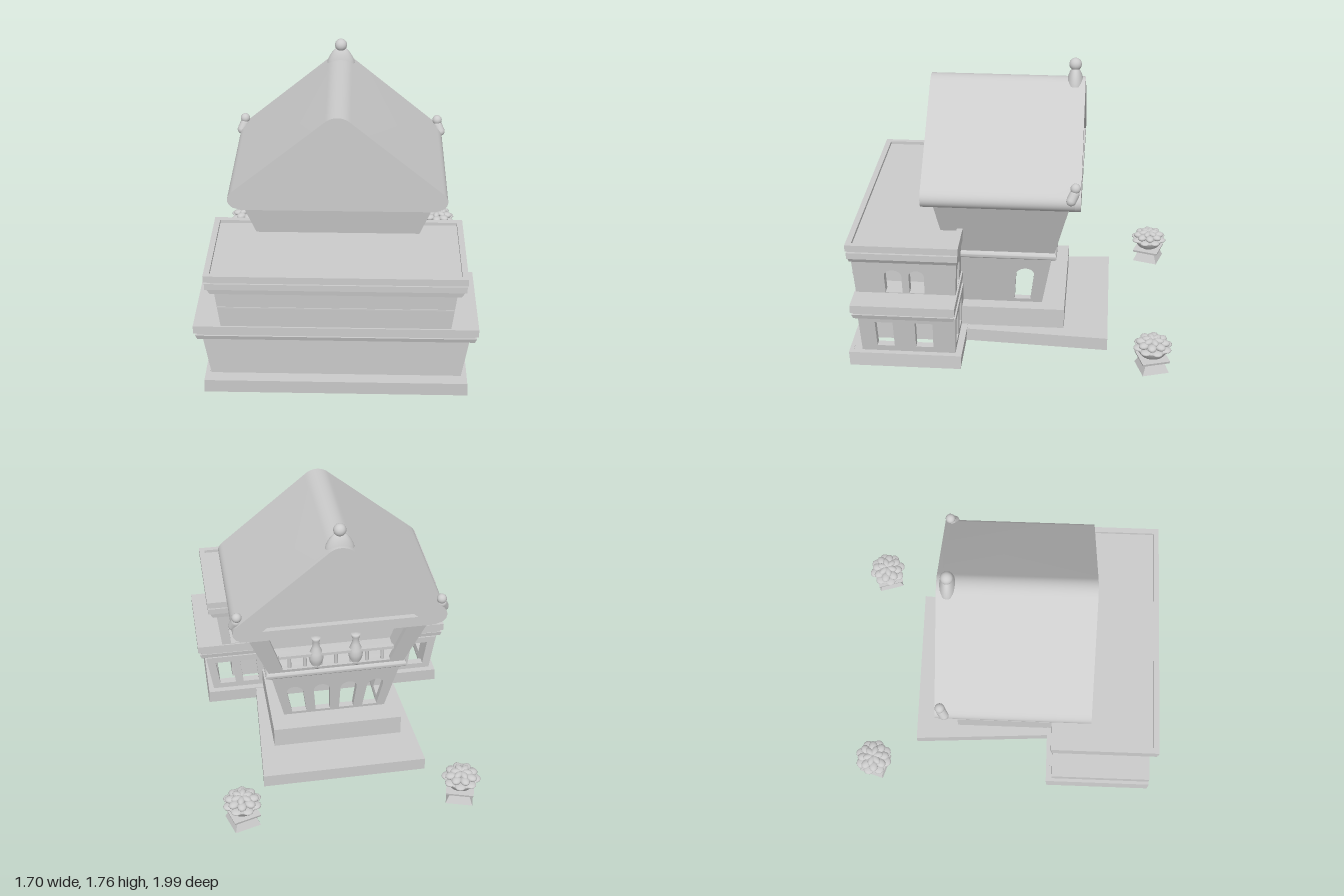
import * as THREE from 'three';
import { toCreasedNormals } from 'three/addons/utils/BufferGeometryUtils.js';

const material = new THREE.MeshStandardMaterial({ color: 0xcccccc });
const shellMaterial = new THREE.MeshStandardMaterial({ color: 0xcccccc, side: THREE.DoubleSide });
const lerp = THREE.MathUtils.lerp;
const points = (list) => list.map((p) => new THREE.Vector2(...p));

function add(parent, name, geometry, x = 0, y = 0, z = 0, mat = material) {
  const mesh = new THREE.Mesh(geometry, mat);
  mesh.name = name;
  mesh.position.set(x, y, z);
  parent.add(mesh);
  return mesh;
}

// Moves every vertex by a rule, then rebuilds crisp normals
function reshape(geometry, rule) {
  const p = geometry.attributes.position;
  const v = new THREE.Vector3();
  for (let i = 0; i < p.count; i++) {
    rule(v.fromBufferAttribute(p, i));
    p.setXYZ(i, v.x, v.y, v.z);
  }
  return toCreasedNormals(geometry, 0.5);
}

// Tapered block; a section is [half width, back z, front z]
function block(parent, name, y0, y1, low, high = low) {
  const geo = reshape(new THREE.BoxGeometry(2, 1, 1), (v) => {
    const t = v.y + 0.5, s = v.z + 0.5;
    v.set(v.x * lerp(low[0], high[0], t), lerp(y0, y1, t),
      lerp(lerp(low[1], high[1], t), lerp(low[2], high[2], t), s));
  });
  add(parent, name, geo);
}

// Opening in wall coordinates: u runs -1..1 across, y is height
function opening(u, w, y0, y1, rise = 0) {
  const h = new THREE.Path();
  h.moveTo(u - w, y0);
  h.lineTo(u + w, y0);
  h.lineTo(u + w, y1 - rise);
  if (rise) h.absellipse(u, y1 - rise, w, rise, 0, Math.PI, false);
  else h.lineTo(u - w, y1);
  h.lineTo(u - w, y0);
  return h;
}

// Four leaning walls with openings: side walls take u along +z, the back along x
function storey(parent, name, y0, y1, low, high, t, sideHoles = () => [], backHoles = () => []) {
  const group = new THREE.Group();
  group.name = name;
  parent.add(group);
  const at = (y) => low.map((a, i) => lerp(a, high[i], (y - y0) / (y1 - y0)));
  const wall = (label, holes, rule) => {
    const s = new THREE.Shape(points([[-1, y0], [1, y0], [1, y1], [-1, y1]]));
    s.holes.push(...holes);
    const g = new THREE.ExtrudeGeometry(s, { depth: t, bevelEnabled: false, curveSegments: 10 });
    add(group, label, reshape(g, (v) => rule(v, at(v.y), t - v.z)));
  };
  for (const side of [1, -1]) {
    wall(side > 0 ? 'leftWall' : 'rightWall', sideHoles(-side), (v, [hx, zb, zf], d) =>
      v.set(side * (hx - d), v.y, lerp(zb, zf, (1 - side * v.x) / 2)));
  }
  wall('backWall', backHoles(), (v, [hx, zb], d) => v.set(-v.x * hx, v.y, zb + d));
  wall('frontWall', [], (v, [hx, , zf], d) => v.set(v.x * hx, v.y, zf - d));
}

// Flat four-sided frame with a four-sided hole; sides are [back half width, front half width, back z, front z]
function frame(parent, name, y0, y1, outer, inner) {
  const corners = ([b, f, zb, zf]) => points([[-f, -zf], [f, -zf], [b, -zb], [-b, -zb]]);
  const s = new THREE.Shape(corners(outer));
  s.holes.push(new THREE.Path(corners(inner)));
  const g = new THREE.ExtrudeGeometry(s, { depth: y1 - y0, bevelEnabled: false });
  add(parent, name, g.rotateX(-Math.PI / 2), 0, y0, 0);
}

function lathe(profile) {
  return new THREE.LatheGeometry(points(profile), 24);
}

function addFrontBuilding(root) {
  const g = new THREE.Group();
  g.name = 'frontBuilding';
  root.add(g);
  // Base is an open rim carrying a ledge
  storey(g, 'baseRim', 0, 0.09, [0.8, 0.305, 0.995], [0.795, 0.3, 1], 0.025);
  frame(g, 'baseLedge', 0.07, 0.089, [0.79, 0.79, 0.305, 0.99], [0.71, 0.71, 0.39, 0.87]);

  // Lower storey with square windows in front of set-back inner walls
  storey(g, 'lowerStorey', 0.09, 0.36, [0.76, 0.34, 0.92], [0.8, 0.33, 0.93], 0.05,
    (s) => [0.48, -0.345].map((u) => opening(u * s, 0.185, 0.13, 0.315)),
    () => [-0.86, -0.65, 0.65, 0.86].map((u) => opening(u, 0.07, 0.13, 0.315)));
  storey(g, 'lowerInnerWalls', 0.09, 0.36, [0.62, 0.46, 0.9], [0.62, 0.46, 0.9], 0.02);
  block(g, 'lowerCorniceBottom', 0.36, 0.39, [0.83, 0.34, 0.95], [0.84, 0.335, 0.96]);
  block(g, 'lowerCorniceGroove', 0.39, 0.41, [0.83, 0.34, 0.95]);
  block(g, 'lowerCorniceTop', 0.41, 0.46, [0.85, 0.33, 0.965]);

  // Upper storey with paired arches
  storey(g, 'upperStorey', 0.46, 0.7, [0.685, 0.34, 0.955], [0.71, 0.33, 0.97], 0.06,
    (s) => [[0.23, 0.17], [-0.23, 0.15]].map(([u, w]) => opening(u * s, w, 0.465, 0.63, 0.04)),
    () => [-0.82, 0.82].map((u) => opening(u, 0.09, 0.465, 0.63, 0.04)));
  block(g, 'upperCore', 0.46, 0.7, [0.54, 0.47, 0.87]);
  add(g, 'frontStringCourse', new THREE.BoxGeometry(1.395, 0.008, 0.012), 0, 0.6, 0.962);
  block(g, 'upperCorniceFlare', 0.7, 0.735, [0.735, 0.325, 0.975], [0.755, 0.32, 0.98]);
  block(g, 'upperCorniceBottom', 0.735, 0.775, [0.765, 0.315, 0.985]);
  block(g, 'upperCorniceGroove', 0.775, 0.788, [0.75, 0.325, 0.975]);
  block(g, 'flatRoof', 0.785, 0.81, [0.75, 0.33, 0.97]);
  storey(g, 'parapet', 0.788, 0.83, [0.77, 0.31, 0.99], [0.77, 0.31, 0.99], 0.035);
}

function addTower(root) {
  const g = new THREE.Group();
  g.name = 'tower';
  root.add(g);
  // Platform narrows a little towards the front and is open below
  const platform = [0.525, 0.468, -0.595, 0.36];
  frame(g, 'platformRim', 0, 0.065, platform, [0.505, 0.448, -0.575, 0.34]);
  frame(g, 'platformTop', 0.065, 0.085, platform, [0.39, 0.39, -0.285, 0.34]);
  storey(g, 'plinth', 0.085, 0.22, [0.42, -0.315, 0.38], [0.42, -0.315, 0.38], 0.025);
  frame(g, 'plinthTop', 0.2, 0.22, [0.42, 0.42, -0.315, 0.38], [0.29, 0.29, -0.13, 0.33]);

  // Hollow hall with arches at the back and one on each side
  storey(g, 'hall', 0.22, 0.6, [0.335, -0.17, 0.37], [0.42, -0.235, 0.43], 0.045,
    (s) => [opening(-0.53 * s, 0.185, 0.245, 0.5, 0.05)],
    () => [-0.69, -0.23, 0.23, 0.69].map((u) => opening(u, 0.14, 0.24, 0.48, 0.055)));

  // Rounded band that also forms the balcony floor
  const plan = new THREE.Shape(points([[-0.43, -0.43], [0.43, -0.43], [0.43, 0.24], [-0.43, 0.24]]));
  const band = new THREE.ExtrudeGeometry(plan, { depth: 0.004, bevelThickness: 0.023, bevelSize: 0.025, bevelSegments: 5 });
  band.rotateX(-Math.PI / 2);
  add(g, 'band', toCreasedNormals(band, 0.7), 0, 0.613, 0);

  // Balcony room open at the back
  storey(g, 'balconyRoom', 0.635, 1.02, [0.435, -0.25, 0.42], [0.58, -0.34, 0.48], 0.04,
    undefined, () => [opening(0, 0.78, 0.66, 0.97)]);
  block(g, 'balconyInnerWall', 0.635, 1.02, [0.4, 0, 0.03], [0.54, 0, 0.03]);
  add(g, 'handrail', new THREE.BoxGeometry(0.74, 0.02, 0.03), 0, 0.75, -0.235);
  for (let i = -3; i <= 3; i++) {
    add(g, 'baluster', new THREE.CylinderGeometry(0.011, 0.014, 0.11, 8), i * 0.1, 0.69, -0.23);
  }
  const vase = lathe([[0, 0], [0.033, 0], [0.028, 0.012], [0.042, 0.045], [0.048, 0.08], [0.041, 0.115],
    [0.025, 0.155], [0.02, 0.185], [0.026, 0.21], [0.03, 0.23], [0, 0.23]]);
  for (const s of [-1, 1]) add(g, 'vase', vase, s * 0.127, 0.64, -0.222);
}

function roofShape() {
  const s = new THREE.Shape();
  s.moveTo(-0.58, 1.02);
  s.lineTo(0.58, 1.02);
  s.lineTo(0.63, 1.035);
  s.bezierCurveTo(0.67, 1.06, 0.675, 1.11, 0.63, 1.145);
  s.lineTo(0.08, 1.605);
  s.bezierCurveTo(0.035, 1.65, -0.035, 1.65, -0.08, 1.605);
  s.lineTo(-0.63, 1.145);
  s.bezierCurveTo(-0.675, 1.11, -0.67, 1.06, -0.63, 1.035);
  s.lineTo(-0.58, 1.02);
  return s;
}

function addRoof(root) {
  const g = new THREE.Group();
  g.name = 'gableRoof';
  root.add(g);
  const solid = (shape, depth) => toCreasedNormals(
    new THREE.ExtrudeGeometry(shape, { depth, bevelEnabled: false, curveSegments: 10 }), 0.6);
  add(g, 'roofBody', solid(roofShape(), 0.92), 0, 0, -0.375);
  // Back rim frames a sunken triangular pediment
  const rim = roofShape();
  rim.holes.push(new THREE.Path(points([[-0.48, 1.09], [0, 1.52], [0.48, 1.09]])));
  add(g, 'pedimentRim', solid(rim, 0.035), 0, 0, -0.41);

  // Ridge finial: flattened bell with a ball
  const bell = lathe([[0.088, 0], [0.082, 0.025], [0.064, 0.06], [0.042, 0.088], [0.02, 0.1], [0, 0.102]]);
  add(g, 'ridgeFinialBell', bell, 0, 1.605, -0.345, shellMaterial).scale.z = 0.6;
  add(g, 'ridgeFinialBall', new THREE.SphereGeometry(0.039, 20, 14), 0, 1.725, -0.345);
  // Eave finials lean outwards
  for (const s of [-1, 1]) {
    const body = add(g, 'eaveFinialBody', new THREE.CapsuleGeometry(0.03, 0.045, 6, 14), s * 0.643, 1.135, -0.362);
    body.rotation.set(-0.45, 0, s * 0.4);
    add(g, 'eaveFinialBall', new THREE.SphereGeometry(0.031, 16, 12), s * 0.63, 1.188, -0.377);
  }
}

function addFlowerPot(root, side) {
  const g = new THREE.Group();
  g.name = side > 0 ? 'leftFlowerPot' : 'rightFlowerPot';
  g.position.set(side * 0.69, 0, -0.873);
  g.rotation.y = side * 0.3;
  root.add(g);
  block(g, 'pedestal', 0, 0.07, [0.084, -0.084, 0.084], [0.056, -0.056, 0.056]);
  block(g, 'pedestalCap', 0.07, 0.085, [0.084, -0.084, 0.084], [0.087, -0.087, 0.087]);
  add(g, 'bowl', lathe([[0, 0], [0.045, 0], [0.075, 0.02], [0.1, 0.06], [0.105, 0.075], [0, 0.075]]), 0, 0.085, 0);
  // Rings of petals: count, ring radius, height, then length, width and thickness
  const petal = new THREE.SphereGeometry(1, 12, 8);
  const rings = [[8, 0.087, 0.156, 0.037, 0.036, 0.014], [8, 0.068, 0.182, 0.038, 0.03, 0.02], [6, 0.034, 0.199, 0.036, 0.022, 0.017]];
  rings.forEach(([n, r, y, l, w, h], k) => {
    for (let i = 0; i < n; i++) {
      const a = (i + k * 0.5) * 2 * Math.PI / n;
      const p = add(g, 'petal', petal, Math.cos(a) * r, y, Math.sin(a) * r);
      p.scale.set(l, h, w);
      p.rotation.y = -a;
    }
  });
}

export function createModel() {
  const root = new THREE.Group();
  root.name = 'temple';
  addFrontBuilding(root);
  addTower(root);
  addRoof(root);
  for (const side of [-1, 1]) addFlowerPot(root, side);
  return root;
}
